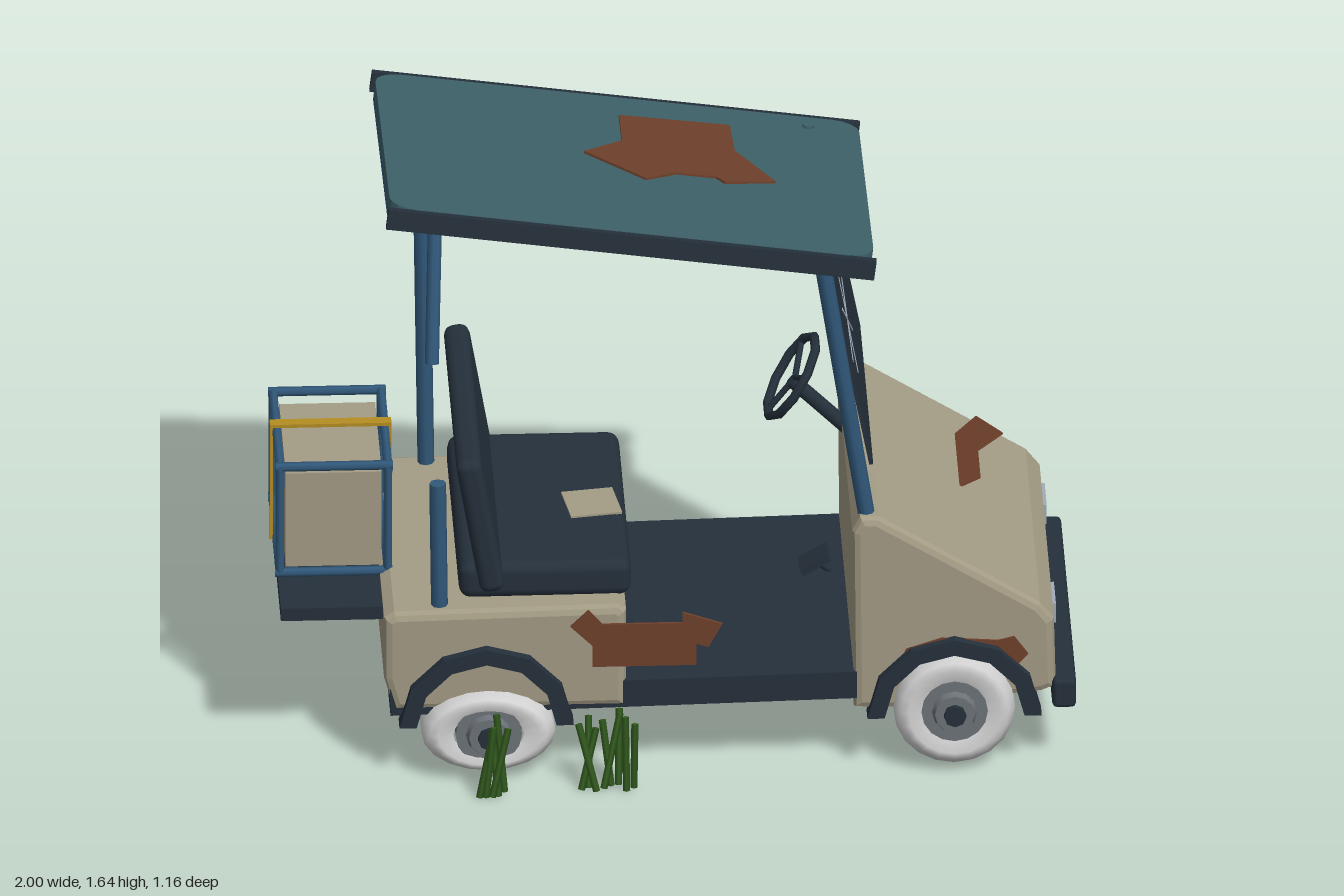
import * as THREE from 'three';
import { RoundedBoxGeometry } from 'three/addons/geometries/RoundedBoxGeometry.js';

const material = (name, color, side = THREE.FrontSide) =>
  Object.assign(new THREE.MeshStandardMaterial({ color, side }), { name });

const M = {
  cream: material('faded cream', 0xa39b84),
  teal: material('teal roof', 0x3f626a),
  navy: material('dark navy', 0x25303b),
  blue: material('frame blue', 0x31587a),
  rust: material('rust', 0x6f402b),
  tyre: material('pale tyre', 0xd2d2d2),
  grey: material('rim grey', 0x6c7178),
  glass: material('lamp glass', 0xa0abb8),
  yellow: material('strap yellow', 0xb48d22),
  green: material('grass green', 0x345e20),
};

function add(parent, name, geo, mat, pos = [0, 0, 0], rot = [0, 0, 0]) {
  const mesh = new THREE.Mesh(geo, mat);
  mesh.name = name;
  mesh.position.set(...pos);
  mesh.rotation.set(...rot);
  parent.add(mesh);
  return mesh;
}

function addGroup(parent, name, pos = [0, 0, 0], rot = [0, 0, 0]) {
  const g = new THREE.Group();
  g.name = name;
  g.position.set(...pos);
  g.rotation.set(...rot);
  parent.add(g);
  return g;
}

const box = (w, h, d) => new THREE.BoxGeometry(w, h, d);
const shapeOf = (pts) => new THREE.Shape(pts.map((p) => new THREE.Vector2(...p)));

// Flat plate in the xy plane, growing towards +z
const plate = (pts, depth = 0.007) =>
  new THREE.ExtrudeGeometry(shapeOf(pts), { depth, bevelEnabled: false });

// Flat plate lying on the xz plane, growing upwards
const flatPlate = (pts, depth) => plate(pts.map(([x, z]) => [x, -z]), depth).rotateX(-Math.PI / 2);

// Side profile stretched across the cart with chamfered edges
function bodyShell(pts, width, bevel) {
  return new THREE.ExtrudeGeometry(shapeOf(pts), {
    depth: width - 2 * bevel, bevelThickness: bevel, bevelSize: bevel,
    bevelOffset: -bevel, bevelSegments: 2,
  }).translate(0, 0, bevel - width / 2);
}

// Straight round bar between two points
function rod(parent, name, a, b, r, mat, sides = 8) {
  const from = new THREE.Vector3(...a), to = new THREE.Vector3(...b);
  const dir = to.clone().sub(from);
  const mesh = add(parent, name, new THREE.CylinderGeometry(r, r, dir.length(), sides), mat);
  mesh.position.copy(from).add(to).multiplyScalar(0.5);
  mesh.quaternion.setFromUnitVectors(new THREE.Vector3(0, 1, 0), dir.normalize());
  return mesh;
}

function addWheel(parent, name, x, y, side, flat) {
  const g = addGroup(parent, name, [x, y, side * 0.39], [side * Math.PI / 2, 0, 0]);
  const profile = [[0.08, -0.06], [0.115, -0.07], [0.135, -0.062], [0.152, -0.04],
    [0.152, 0.04], [0.135, 0.06], [0.115, 0.068], [0.08, 0.056]];
  const tyre = add(g, 'tyre', new THREE.LatheGeometry(profile.map((p) => new THREE.Vector2(...p)), 20), M.tyre);
  if (flat) tyre.scale.set(1.1, 1, 0.72);
  add(g, 'rim', new THREE.CylinderGeometry(0.083, 0.083, 0.12, 16), M.grey);
  add(g, 'rimCentre', new THREE.CylinderGeometry(0.05, 0.058, 0.02, 12), M.grey, [0, 0.067, 0]);
  add(g, 'hub', new THREE.CylinderGeometry(0.028, 0.028, 0.16, 8), M.navy, [0, 0.012, 0]);
}

// Faceted arch over a wheel
function addFender(parent, x, side) {
  const arc = (r, i) => [r * Math.cos(Math.PI * i / 6), r * Math.sin(Math.PI * i / 6)];
  const pts = [];
  for (let i = 0; i <= 6; i++) pts.push(arc(0.218, i));
  for (let i = 6; i >= 0; i--) pts.push(arc(0.175, i));
  add(parent, 'fender', plate(pts, 0.05), M.navy, [x, 0.175, side * 0.415 - 0.025]);
}

function addBody(root) {
  // The body leans slightly to one side
  const body = addGroup(root, 'body', [0, 0, 0], [0.03, 0, 0]);
  add(body, 'hood', bodyShell([[0.44, 0.19], [0.435, 0.69], [0.455, 0.73], [0.5, 0.73], [0.905, 0.475],
    [0.94, 0.43], [0.945, 0.24], [0.91, 0.225], [0.52, 0.185]], 0.83, 0.02), M.cream);
  add(body, 'rearBody', bodyShell([[-0.71, 0.21], [-0.735, 0.3], [-0.735, 0.47], [-0.71, 0.485],
    [-0.15, 0.495], [-0.13, 0.48], [-0.13, 0.21]], 0.83, 0.02), M.cream);
  add(body, 'floor', box(1.2, 0.075, 0.82), M.navy, [-0.12, 0.245, 0], [0, 0, 0.02]);
  add(body, 'bumper', new RoundedBoxGeometry(0.06, 0.08, 0.86, 1, 0.012), M.navy, [0.965, 0.227, 0]);
  for (const s of [-1, 1]) {
    add(body, 'headlight', box(0.01, 0.055, 0.112), M.glass, [0.944, 0.395, s * 0.255]);
    for (const x of [-0.48, 0.69]) addFender(body, x, s);
  }

  // Seat
  add(body, 'seatCushion', new RoundedBoxGeometry(0.43, 0.1, 0.7, 2, 0.03), M.navy, [-0.33, 0.535, 0]);
  add(body, 'seatBack', new RoundedBoxGeometry(0.065, 0.38, 0.74, 2, 0.025), M.navy, [-0.492, 0.7, 0], [0, 0, 0.17]);
  add(body, 'seatPatch', box(0.13, 0.006, 0.13), M.cream, [-0.2, 0.587, 0.04], [0, 0.15, 0]);

  // Steering and pedal
  const steering = addGroup(body, 'steering', [0.31, 0.81, -0.19], [0, 0, -0.56]);
  add(steering, 'steeringWheel', new THREE.TorusGeometry(0.115, 0.012, 6, 10), M.navy, [0, 0, 0], [0, Math.PI / 2, 0]);
  for (const a of [0, 2.1, 4.2]) {
    rod(steering, 'steeringSpoke', [0.01, 0, 0], [0, -0.11 * Math.cos(a), 0.11 * Math.sin(a)], 0.008, M.navy, 6);
  }
  rod(body, 'steeringColumn', [0.31, 0.8, -0.19], [0.46, 0.65, -0.19], 0.02, M.navy);
  add(body, 'pedal', box(0.08, 0.02, 0.07), M.navy, [0.365, 0.325, -0.12], [0, 0, 0.55]);
  rod(body, 'pedalArm', [0.37, 0.32, -0.12], [0.44, 0.27, -0.12], 0.01, M.navy, 6);

  // Cracked windscreen
  const screen = addGroup(body, 'windscreen', [0.437, 1.105, 0.005], [0, 0, 0.19]);
  add(screen, 'pane', box(0.01, 0.5, 0.72), M.navy);
  for (const [angle, length] of [[0.3, 0.29], [1.33, 0.28], [-0.69, 0.3]]) {
    add(screen, 'crack', box(0.014, 0.007, length), M.glass, [0, 0.045, 0.135], [angle, 0, 0]);
  }

  // Rust patches
  add(body, 'sideRust', plate([[-0.27, 0.445], [-0.225, 0.49], [-0.19, 0.45], [0.01, 0.45], [0.01, 0.48], [0.11, 0.445],
    [0.075, 0.38], [0.045, 0.39], [0.045, 0.33], [-0.215, 0.33], [-0.215, 0.39]]), M.rust, [0, 0, 0.416]);
  add(body, 'archRust', plate([[0.54, 0.29], [0.57, 0.36], [0.66, 0.39], [0.8, 0.38], [0.84, 0.39], [0.875, 0.34],
    [0.84, 0.3]]), M.rust, [0, 0, 0.412]);
  add(body, 'rearRust', box(0.008, 0.08, 0.08), M.rust, [-0.738, 0.32, -0.34], [0.3, 0, 0]);
  add(body, 'hoodRust', flatPlate([[0, -0.25], [0.065, -0.3], [0.13, -0.165], [0.06, -0.13], [0.06, 0.01], [0, 0.015]], 0.006),
    M.rust, [0.72, 0.583, -0.02], [0, 0, 0.41]);
  return body;
}

// Caged crate on a rear shelf
function addCargo(body) {
  const cargo = addGroup(body, 'cargo', [-0.85, 0, -0.033]);
  add(cargo, 'shelf', box(0.29, 0.035, 0.675), M.navy, [0.005, 0.445, 0.025]);
  add(cargo, 'crate', box(0.24, 0.265, 0.36), M.cream, [0, 0.615, 0]);
  const X = 0.135, Z = 0.195, lo = 0.475, hi = 0.775, r = 0.012;
  for (const s of [-1, 1]) {
    for (const y of [lo, hi]) {
      rod(cargo, 'cageBar', [-X - r, y, s * Z], [X + r, y, s * Z], r, M.blue, 6);
      rod(cargo, 'cageBar', [s * X, y, -Z], [s * X, y, Z], r, M.blue, 6);
    }
    for (const t of [-1, 1]) rod(cargo, 'cagePost', [s * X, lo, t * Z], [s * X, hi, t * Z], r, M.blue, 6);
    add(cargo, 'strapSide', box(0.008, 0.32, 0.03), M.yellow, [s * 0.148, 0.63, 0]);
  }
  add(cargo, 'strapTop', box(0.304, 0.009, 0.03), M.yellow, [0, 0.791, 0]);
}

function addRoof(root) {
  const roof = addGroup(root, 'roof', [-0.118, 1.527, 0.05], [-0.092, 0, -0.134]);
  const a = 0.61, b = 0.453, c = 0.065, corner = [];
  for (const [sx, sz, start] of [[1, 1, 0], [-1, 1, 1], [-1, -1, 2], [1, -1, 3]]) {
    for (let i = 0; i <= 4; i++) {
      const t = (start + i / 4) * Math.PI / 2;
      corner.push([sx * (a - c) + c * Math.cos(t), sz * (b - c) + c * Math.sin(t)]);
    }
  }
  add(roof, 'roofTop', flatPlate(corner, 0.028), M.teal, [0, -0.026, 0]);
  add(roof, 'roofUnderside', flatPlate(corner, 0.02), M.blue, [0, -0.046, 0]);
  for (const s of [-1, 1]) add(roof, 'roofTrim', box(1.23, 0.052, 0.022), M.navy, [0, -0.026, s * 0.462]);
  add(roof, 'roofRust', flatPlate([[0, -0.32], [0.28, -0.33], [0.285, -0.16], [0.38, 0.02], [0.25, 0.06], [0.23, 0.03],
    [0.13, 0.03], [0.05, 0.09], [-0.1, -0.05], [0, -0.15]], 0.006), M.rust, [0, 0.002, 0]);
  add(roof, 'rivet', new THREE.CylinderGeometry(0.014, 0.014, 0.008, 8), M.teal, [0.48, 0.005, -0.385]);
}

// Roof posts, one of them snapped in two
function addPosts(root) {
  const r = 0.021;
  rod(root, 'frontPostLeft', [0.475, 0.69, 0.39], [0.36, 1.44, 0.428], r, M.blue);
  rod(root, 'frontPostRight', [0.475, 0.69, -0.36], [0.355, 1.41, -0.33], r, M.blue);
  rod(root, 'rearPost', [-0.595, 0.46, -0.36], [-0.61, 1.4, -0.33], r, M.blue);
  rod(root, 'brokenPostLower', [-0.595, 0.46, 0.38], [-0.6, 0.82, 0.39], r, M.blue);
  rod(root, 'brokenPostUpper', [-0.61, 1.58, 0.455], [-0.622, 1.24, 0.553], 0.018, M.blue);
}

// Tufts of crossed blades around the wheels
function addGrass(root) {
  let seed = 7;
  const rand = () => (seed = (seed * 16807) % 2147483647) / 2147483647 - 0.5;
  for (const [cx, cz, n, spread] of [[-0.65, -0.52, 5, 0.07], [-0.47, 0.51, 5, 0.08], [-0.18, 0.49, 8, 0.15]]) {
    const tuft = addGroup(root, 'grassTuft', [cx, 0, cz]);
    for (let i = 0; i < n; i++) {
      const x = spread * ((i + 0.5) / n - 0.5), z = rand() * 0.06;
      const blade = rod(tuft, 'grassBlade', [x, 0.01, z],
        [x + rand() * 0.1, 0.2 + rand() * 0.07, z + rand() * 0.12], 0.009, M.green, 4);
      blade.scale.z = 0.6;
    }
  }
}

export function createModel() {
  const root = new THREE.Group();
  root.name = 'abandonedCart';
  addCargo(addBody(root));
  addPosts(root);
  addRoof(root);
  for (const s of [-1, 1]) {
    addWheel(root, 'frontWheel', 0.69, 0.18, s, false);
    addWheel(root, 'rearWheel', -0.475, s > 0 ? 0.142 : 0.18, s, s > 0);
  }
  addGrass(root);
  return root;
}
